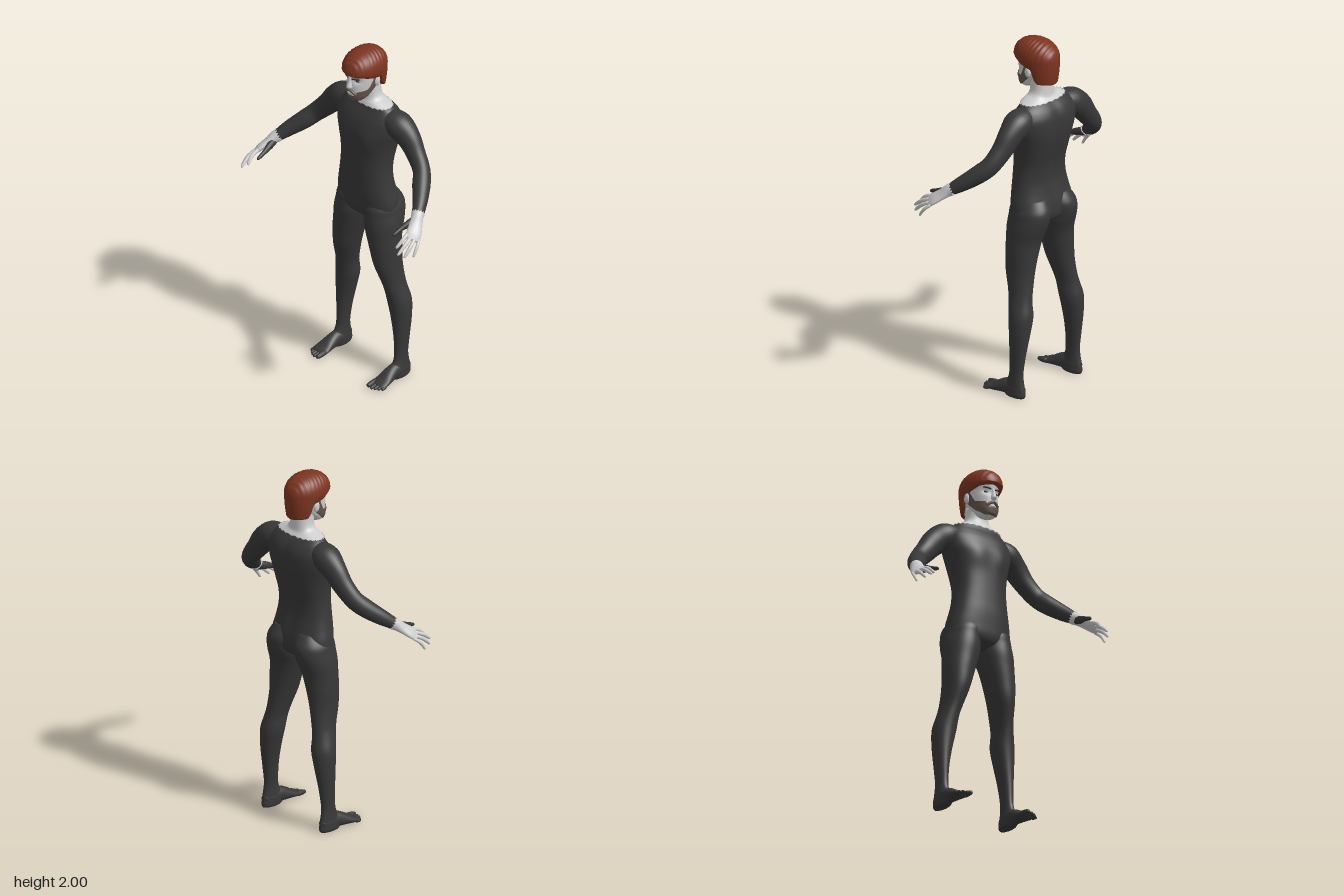
import * as THREE from 'three';

const mat = (name, color, side = THREE.FrontSide) => {
  const m = new THREE.MeshStandardMaterial({ color, side });
  m.name = name;
  return m;
};
const { lerp } = THREE.MathUtils;
const V = (x, y, z) => new THREE.Vector3(x, y, z);
const bump = (d, w) => Math.exp(-((d / w) ** 2));

// Smooth (Catmull-Rom) interpolation of rows of numbers at position t
function sample(rows, t) {
  const last = rows.length - 1;
  const i = Math.min(Math.max(Math.floor(t), 0), last - 1), f = t - i;
  const [a, b, c, d] = [i - 1, i, i + 1, i + 2].map(k => rows[Math.min(Math.max(k, 0), last)]);
  return b.map((_, k) => b[k] + 0.5 * f * (c[k] - a[k] + f * (2 * a[k] - 5 * b[k] + 4 * c[k] - d[k]
    + f * (3 * (b[k] - c[k]) + d[k] - a[k]))));
}

// Piecewise linear lookup in [[key, value], ...]
function ramp(table, x) {
  let i = 0;
  while (i < table.length - 2 && x > table[i + 1][0]) i++;
  const [[x0, y0], [x1, y1]] = [table[i], table[i + 1]];
  return lerp(y0, y1, Math.min(Math.max((x - x0) / (x1 - x0), 0), 1));
}

function flip(geo) {
  const ix = geo.index.array;
  for (let i = 0; i < ix.length; i += 3) [ix[i], ix[i + 1]] = [ix[i + 1], ix[i]];
  return geo;
}

// Skin a grid of points; faces are turned outward by the sign of the volume
function grid(m, n, point, closed = true) {
  const pts = [], index = [];
  const cols = closed ? n : n + 1;
  for (let i = 0; i <= m; i++) for (let j = 0; j < cols; j++) pts.push(point(i, j));
  for (let i = 0; i < m; i++) for (let j = 0; j < n; j++) {
    const k = (j + 1) % cols;
    const a = i * cols + j, b = i * cols + k, c = a + cols, d = b + cols;
    index.push(a, b, c, b, d, c);
  }
  const geo = new THREE.BufferGeometry().setFromPoints(pts);
  geo.setIndex(index);
  const mid = pts.reduce((s, p) => s.add(p), V(0, 0, 0)).divideScalar(pts.length);
  let vol = 0;
  for (let i = 0; i < index.length; i += 3) {
    const [a, b, c] = [0, 1, 2].map(k => pts[index[i + k]].clone().sub(mid));
    vol += a.dot(b.cross(c));
  }
  if (vol < 0) flip(geo);
  geo.computeVertexNormals();
  return geo;
}

// Point on a level ring [x, y, halfWidth, zFront, zBack] at angle a from the front
function ringPoint([x, y, rx, zf, zb], a, p = 2, grow = 0) {
  const pw = v => Math.sign(v) * Math.abs(v) ** (2 / p);
  return V(x + (rx + grow) * pw(Math.sin(a)), y, (zf + zb) / 2 + ((zf - zb) / 2 + grow) * pw(Math.cos(a)));
}

// Upright body part from level rings, capped at both ends
function upright(rows, { n = 48, k = 5, p = 2, jag = 0, shape } = {}) {
  const m = (rows.length - 1) * k;
  return grid(m + 2, n, (i, j) => {
    const r = sample(rows, Math.min(Math.max(i - 1, 0), m) / k);
    if (i === 0 || i === m + 2) r[2] = 0, r[3] = r[4] = (r[3] + r[4]) / 2;
    const v = ringPoint(r, j / n * Math.PI * 2, p);
    if (i === 1) v.y += jag * (j % 2 ? 1 : -1);
    if (shape) shape(v);
    return v;
  });
}

// Limb along a path of rows [x, y, z, sideRadius, upRadius]
function limb(rows, { n = 28, k = 5, ref = V(0, 1, 0), jag = 0 } = {}) {
  const m = (rows.length - 1) * k;
  const at = t => V(...sample(rows, t));
  return grid(m + 2, n, (i, j) => {
    const t = Math.min(Math.max(i - 1, 0), m) / k, r = sample(rows, t);
    const dir = at(Math.min(t + 0.1, rows.length - 1)).sub(at(Math.max(t - 0.1, 0))).normalize();
    const side = dir.clone().cross(ref).normalize(), up = side.clone().cross(dir);
    const a = j / n * Math.PI * 2, s = i === 0 || i === m + 2 ? 0 : 1;
    const v = V(r[0], r[1], r[2]).addScaledVector(side, s * r[3] * Math.cos(a)).addScaledVector(up, s * r[4] * Math.sin(a));
    return i === 1 ? v.addScaledVector(dir, jag * (j % 2 ? 1 : -1)) : v;
  });
}

// Round-ended finger or toe from a to b
function digit(a, b, r, bend = V(0, 0, 0)) {
  const rows = [[0, 1], [0.45, 1.05], [0.85, 0.85], [0.96, 0.6], [1, 0.2]].map(([t, s]) => {
    const p = a.clone().lerp(b, t).addScaledVector(bend, Math.sin(t * Math.PI));
    return [p.x, p.y, p.z, r * s, r * s];
  });
  return limb(rows, { n: 12, k: 3 });
}

const ball = (x, y, z, sx, sy, sz) => new THREE.SphereGeometry(1, 20, 14).scale(sx, sy, sz).translate(x, y, z);

export function createModel() {
  const suit = mat('charcoal suit', 0x383839), skin = mat('pale skin', 0xcdcdcd);
  const hair = mat('auburn hair', 0x7d3420, THREE.DoubleSide);
  const beard = mat('brown beard', 0x66564c, THREE.DoubleSide), dark = mat('dark eye', 0x3c3532);
  const model = new THREE.Group();
  const add = (name, geo, m) => {
    const mesh = new THREE.Mesh(geo, m);
    mesh.name = name;
    model.add(mesh);
  };
  const pair = (name, geo, m) => {
    add(name + 'Left', geo, m);
    add(name + 'Right', flip(geo.clone().scale(-1, 1, 1)), m);
  };

  // Torso with a spine groove and chest muscles
  add('torso', upright([
    [0, 0.955, 0.05, -0.08, -0.17], [0, 0.985, 0.14, -0.03, -0.215], [0, 1.02, 0.19, -0.012, -0.23],
    [0, 1.08, 0.193, -0.005, -0.228], [0, 1.15, 0.178, 0, -0.213], [0, 1.22, 0.165, 0, -0.203],
    [0, 1.3, 0.158, 0, -0.21], [0, 1.38, 0.165, 0, -0.23], [0, 1.46, 0.182, 0.001, -0.247],
    [0, 1.52, 0.2, -0.002, -0.253], [0, 1.58, 0.205, -0.018, -0.25], [0, 1.62, 0.19, -0.037, -0.236],
    [0, 1.65, 0.17, -0.055, -0.215], [0, 1.675, 0.135, -0.065, -0.19], [0, 1.69, 0.09, -0.07, -0.18],
  ], {
    n: 72, p: 2.3, shape: v => {
      if (v.z < -0.15) v.z += 0.014 * bump(v.x, 0.03) * bump(v.y - 1.38, 0.25);
      if (v.z > -0.08) v.z += 0.009 * bump(Math.abs(v.x) - 0.085, 0.055) * bump(v.y - 1.47, 0.06);
    },
  }), suit);

  // Legs, including the seat
  pair('leg', upright([
    [0.085, 1.12, 0.07, -0.05, -0.215], [0.095, 1.06, 0.098, -0.015, -0.25], [0.104, 1.01, 0.1, -0.01, -0.252],
    [0.111, 0.95, 0.103, -0.006, -0.235], [0.122, 0.88, 0.095, -0.01, -0.21], [0.137, 0.8, 0.085, -0.015, -0.2],
    [0.152, 0.7, 0.07, -0.025, -0.195], [0.17, 0.6, 0.058, -0.055, -0.2], [0.183, 0.54, 0.057, -0.07, -0.207],
    [0.195, 0.46, 0.064, -0.085, -0.222], [0.207, 0.36, 0.053, -0.095, -0.215], [0.215, 0.25, 0.038, -0.1, -0.2],
    [0.218, 0.15, 0.03, -0.1, -0.187], [0.22, 0.1, 0.03, -0.09, -0.19], [0.22, 0.05, 0.034, -0.06, -0.2],
    [0.22, 0.015, 0.035, -0.06, -0.204], [0.22, 0, 0.03, -0.07, -0.198],
  ]), suit);

  // Feet and toes
  pair('foot', limb([
    [0.22, 0.035, -0.19, 0.02, 0.03], [0.22, 0.045, -0.15, 0.034, 0.045], [0.22, 0.045, -0.09, 0.035, 0.045],
    [0.222, 0.034, -0.04, 0.041, 0.034], [0.224, 0.022, 0, 0.047, 0.022], [0.224, 0.016, 0.03, 0.047, 0.016],
    [0.224, 0.013, 0.045, 0.04, 0.011],
  ]), suit);
  [[0.19, 0.083, 0.014], [0.213, 0.083, 0.01], [0.232, 0.076, 0.01], [0.249, 0.064, 0.009], [0.265, 0.05, 0.009]]
    .forEach(([x, z, r], i) => pair('toe' + (i + 1), digit(V(x, r + 0.005, 0.02), V(x + 0.002, r, z), r), suit));

  // Arms
  pair('arm', limb([
    [0.12, 1.615, -0.135, 0.055, 0.045], [0.2, 1.585, -0.14, 0.076, 0.075], [0.27, 1.535, -0.145, 0.062, 0.07],
    [0.33, 1.465, -0.14, 0.051, 0.059], [0.395, 1.395, -0.12, 0.047, 0.052], [0.44, 1.345, -0.075, 0.049, 0.05],
    [0.495, 1.29, -0.01, 0.04, 0.042], [0.535, 1.245, 0.05, 0.03, 0.03],
  ]), suit);

  // Hands: jagged cuff, palm, fingers and dark thumb
  pair('hand', limb([
    [0.526, 1.255, 0.036, 0.036, 0.036], [0.538, 1.243, 0.054, 0.033, 0.032], [0.557, 1.22, 0.082, 0.036, 0.023],
    [0.58, 1.19, 0.12, 0.042, 0.018], [0.591, 1.168, 0.148, 0.038, 0.011],
  ], { ref: V(0.65, 0.68, 0.28), jag: 0.008 }), skin);
  [[0.563, 1.196, 0.152, 0.558, 1.138, 0.232], [0.583, 1.183, 0.145, 0.588, 1.115, 0.25],
    [0.599, 1.172, 0.132, 0.612, 1.1, 0.225], [0.612, 1.164, 0.113, 0.63, 1.09, 0.175]]
    .forEach((f, i) => pair('finger' + (i + 1),
      digit(V(...f.slice(0, 3)), V(...f.slice(3)), i === 3 ? 0.0085 : 0.01, V(0.007, 0.007, 0.003)), skin));
  pair('thumb', limb([
    [0.53, 1.232, 0.06, 0.018, 0.02], [0.524, 1.22, 0.1, 0.018, 0.022], [0.515, 1.205, 0.15, 0.012, 0.014],
    [0.512, 1.19, 0.195, 0.009, 0.01], [0.512, 1.185, 0.208, 0.004, 0.004],
  ], { n: 16 }), suit);

  // Neck with ragged collar edge
  add('neck', upright([
    [0, 1.668, 0.152, -0.055, -0.202], [0, 1.685, 0.112, -0.061, -0.188], [0, 1.7, 0.08, -0.066, -0.183],
    [0, 1.73, 0.065, -0.068, -0.18], [0, 1.79, 0.06, -0.06, -0.175],
  ], { p: 2.3, jag: 0.005 }), skin);

  // Head, with shallow eye sockets
  const headRows = [
    [0, 1.715, 0.028, 0, -0.05], [0, 1.725, 0.045, 0.012, -0.08], [0, 1.75, 0.06, 0.018, -0.11],
    [0, 1.78, 0.069, 0.021, -0.15], [0, 1.82, 0.077, 0.023, -0.185], [0, 1.86, 0.081, 0.022, -0.2],
    [0, 1.9, 0.084, 0.026, -0.205], [0, 1.95, 0.075, 0.01, -0.19], [0, 1.98, 0.045, -0.03, -0.14],
  ];
  add('head', upright(headRows, {
    shape: v => {
      if (v.z > -0.02) v.z -= 0.012 * bump(Math.abs(v.x) - 0.033, 0.018) * bump(v.y - 1.848, 0.016);
    },
  }), skin);
  add('nose', upright([
    [0, 1.87, 0.007, 0.026, 0], [0, 1.84, 0.01, 0.034, 0], [0, 1.812, 0.016, 0.045, 0], [0, 1.8, 0.013, 0.034, 0],
  ], { n: 20 }), skin);
  pair('ear', ball(0.083, 1.83, -0.098, 0.013, 0.031, 0.019).rotateZ(0), skin);
  pair('eye', ball(0.033, 1.847, 0.001, 0.014, 0.006, 0.006), dark);
  pair('eyebrow', digit(V(0.014, 1.862, 0.022), V(0.056, 1.868, 0.004), 0.0045, V(0, 0.002, 0.004)), dark);
  add('mouth', ball(0, 1.765, 0.019, 0.023, 0.006, 0.006), skin);

  // Beard hugging the jaw up to the sideburns, and moustache
  const headAt = y => {
    let i = 0;
    while (i < headRows.length - 2 && y > headRows[i + 1][1]) i++;
    const r = sample(headRows, i + (y - headRows[i][1]) / (headRows[i + 1][1] - headRows[i][1]));
    r[1] = y;
    return r;
  };
  add('beard', grid(14, 48, (i, j) => {
    const deg = (j / 48 * 2 - 1) * 106, a = Math.abs(deg);
    const low = ramp([[0, 1.716], [60, 1.718], [92, 1.745], [106, 1.8]], a);
    const top = ramp([[0, 1.756], [22, 1.757], [34, 1.785], [72, 1.795], [84, 1.87], [106, 1.87]], a);
    return ringPoint(headAt(lerp(low, top, i / 14)), deg * Math.PI / 180, 2, 0.006);
  }, false), beard);
  pair('moustache', digit(V(0, 1.788, 0.026), V(0.038, 1.762, 0.012), 0.008, V(0, 0.004, 0.003)), beard);

  // Hair cap: dome, then sides down to the hairline, folded in at the edge
  const hairline = [[0, 1.888], [50, 1.88], [85, 1.86], [105, 1.85], [113, 1.8], [122, 1.775], [180, 1.765]];
  add('hair', grid(41, 96, (i, j) => {
    const deg = (j / 96 * 2 - 1) * 180, v = Math.min(i, 40) / 40;
    const s = Math.min(v / 0.6, 1) * Math.PI / 2, w = Math.max((v - 0.6) / 0.4, 0);
    const y = w ? lerp(1.9, ramp(hairline, Math.abs(deg)), w) : 1.9 + 0.098 * Math.cos(s);
    const r = Math.sin(s) ** 0.85 * (1 - 0.09 * w * w) * (i === 41 ? 0.82 : 1);
    const p = ringPoint([0, y, 0.1 * r, -0.088 + 0.137 * r, -0.088 - 0.135 * r], deg * Math.PI / 180, 2.15);
    // Combed strands running across the crown
    const strand = Math.sin(p.z * 260 + Math.sin(p.x * 40) * 1.2) * (1 - w);
    p.y += 0.0022 * strand;
    p.x *= 1 + 0.008 * strand;
    return p;
  }), hair);

  return model;
}
